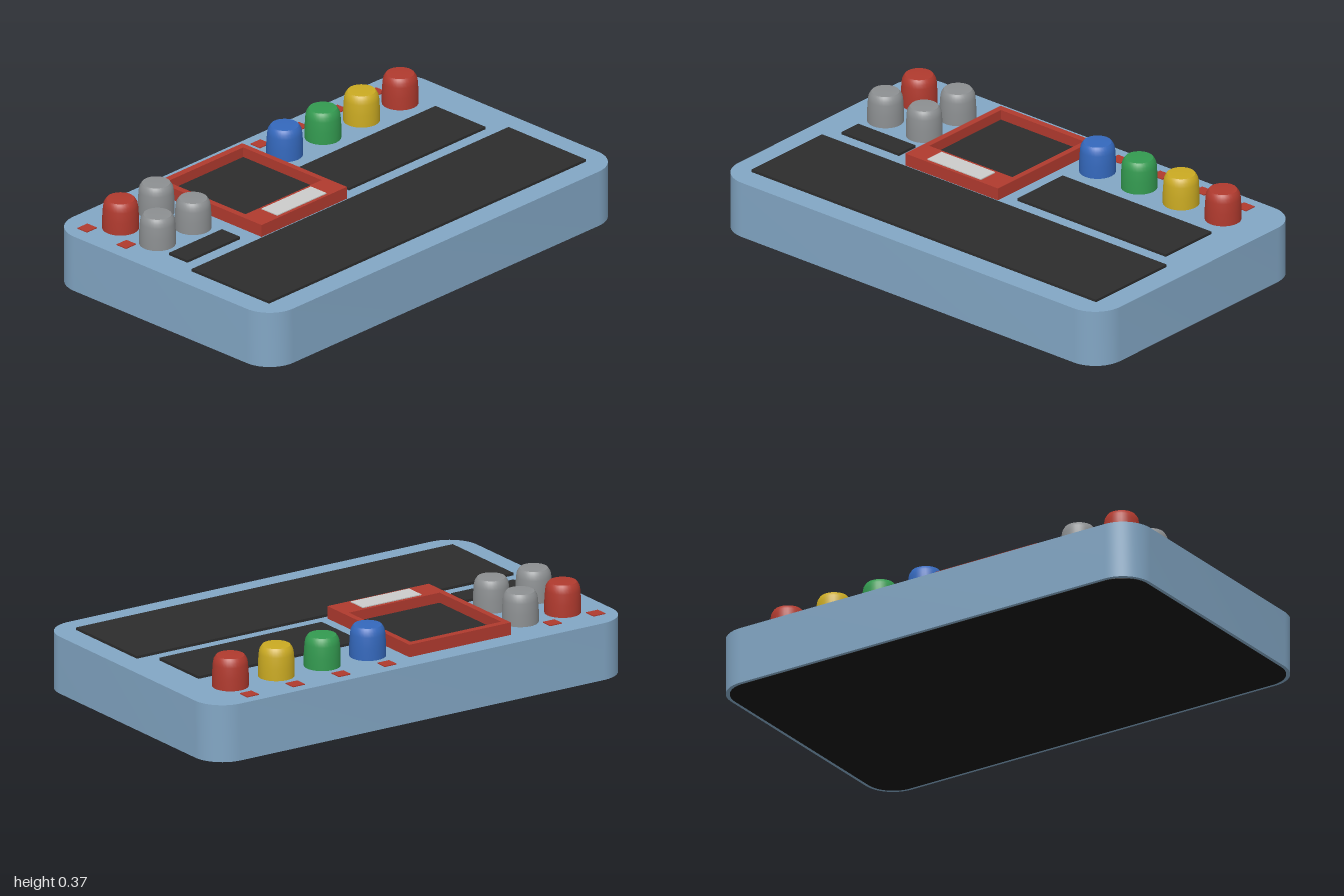
import * as THREE from 'three';
import { toCreasedNormals } from 'three/addons/utils/BufferGeometryUtils.js';

const mat = (name, color) => {
  const m = new THREE.MeshStandardMaterial({ color });
  m.name = name;
  return m;
};

function roundedRect(hw, hd, r) {
  const s = new THREE.Shape();
  s.absarc(hw - r, hd - r, r, 0, Math.PI / 2);
  s.absarc(-hw + r, hd - r, r, Math.PI / 2, Math.PI);
  s.absarc(-hw + r, -hd + r, r, Math.PI, Math.PI * 1.5);
  s.absarc(hw - r, -hd + r, r, Math.PI * 1.5, Math.PI * 2);
  s.closePath();
  return s;
}

// Extrude a plan shape upwards (plan y becomes -z)
function slab(shape, y0, y1, segments = 8) {
  const g = new THREE.ExtrudeGeometry(shape, { depth: y1 - y0, bevelEnabled: false, curveSegments: segments });
  g.rotateX(-Math.PI / 2).translate(0, y0, 0);
  return toCreasedNormals(g, 0.6);
}

export function createModel() {
  const model = new THREE.Group();
  const shell = mat('shell blue', 0x82a6c4);
  const red = mat('red', 0xb03a2e);
  const dark = mat('dark panel', 0x2d2d2d);
  const black = mat('base black', 0x151515);
  const grey = mat('grey', 0x8c8f91);
  const blue = mat('blue', 0x3468bc);
  const green = mat('green', 0x339a50);
  const yellow = mat('yellow', 0xcaaa22);
  const pale = mat('pale label', 0xcccccA);

  const add = (name, geometry, material) => {
    const m = new THREE.Mesh(geometry, material);
    m.name = name;
    model.add(m);
    return m;
  };
  // Box given by its extents
  const block = (name, x0, x1, y0, y1, z0, z1, material) =>
    add(name, new THREE.BoxGeometry(x1 - x0, y1 - y0, z1 - z0), material)
      .position.set((x0 + x1) / 2, (y0 + y1) / 2, (z0 + z1) / 2);

  // Case and base plate
  const top = 0.24;
  add('case', slab(roundedRect(1, 0.605, 0.13), 0.002, top), shell);
  add('basePlate', slab(roundedRect(0.985, 0.59, 0.118), 0, 0.01), black);

  // Dark panels
  block('frontPanel', -0.905, 0.9, top - 0.01, 0.251, 0.08, 0.505, dark);
  block('rightPanel', 0.06, 0.838, top - 0.01, 0.251, -0.262, 0.013, dark);
  block('smallPanel', -0.86, -0.56, top - 0.01, 0.251, -0.087, 0.013, dark);

  // Screen frame with opening, screen and label
  const rect = (Type, x0, x1, z0, z1) => {
    const p = new Type();
    p.moveTo(x0, -z1).lineTo(x1, -z1).lineTo(x1, -z0).lineTo(x0, -z0).closePath();
    return p;
  };
  const frame = rect(THREE.Shape, -0.486, 0, -0.515, 0.06);
  frame.holes.push(rect(THREE.Path, -0.459, -0.025, -0.486, -0.055));
  add('screenFrame', slab(frame, top - 0.01, 0.292), red);
  block('screen', -0.459, -0.025, top - 0.01, 0.25, -0.486, -0.055, dark);
  block('screenLabel', -0.382, -0.102, 0.289, 0.296, -0.04, 0.046, pale);

  // Knobs: slightly tapered skirt, stepped collar and low cap
  const profile = [
    [0.073, top - 0.005], [0.073, 0.29], [0.07, 0.335], [0.067, 0.352],
    [0.06, 0.364], [0.056, 0.369], [0, 0.372],
  ].map(([r, y]) => new THREE.Vector2(r, y));
  const knobGeometry = toCreasedNormals(new THREE.LatheGeometry(profile, 32), 0.45);
  const knobs = [
    [0.122, -0.4, blue], [0.34, -0.4, green], [0.56, -0.4, yellow], [0.78, -0.4, red],
    [-0.813, -0.4, red], [-0.61, -0.4, grey], [-0.813, -0.197, grey], [-0.61, -0.197, grey],
  ];
  knobs.forEach(([x, z, material], i) =>
    add(`knob${i + 1}`, knobGeometry, material).position.set(x, 0, z));

  // Red markers beside the knobs
  const markers = [
    [0.12, -0.533], [0.34, -0.533], [0.56, -0.533], [0.78, -0.533],
    [-0.91, -0.49], [-0.702, -0.49], [-0.91, -0.275], [-0.702, -0.273],
  ];
  markers.forEach(([x, z], i) =>
    block(`marker${i + 1}`, x - 0.028, x + 0.028, top - 0.003, top + 0.004, z - 0.026, z + 0.026, red));

  return model;
}
